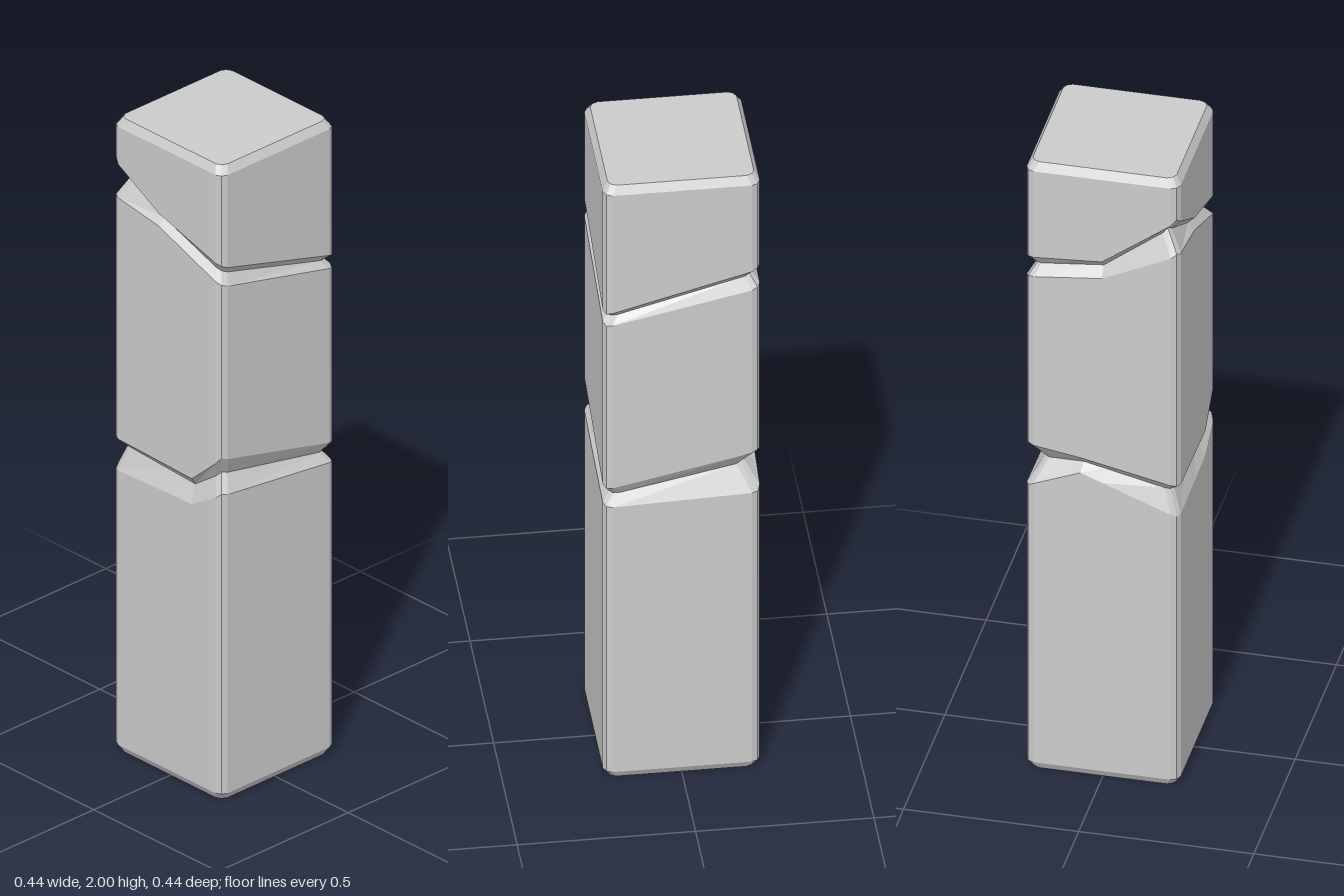
import * as THREE from 'three';

const HALF = 0.22;      // half width of the pillar
const CORNER = 0.212;   // middle point of each softened corner

// Perimeter positions: whole numbers are corners, starting at +x +z and running
// counter-clockwise seen from above; the rest are corner bevels and crack kinks.
const STATIONS = [];
const KINKS = [[], [1.36, 1.5], [2.43, 2.73], []];
for (let side = 0; side < 4; side++) {
  STATIONS.push(side, side + 0.055, ...KINKS[side].map((k) => k), side + 0.945);
}

// Cracks: [perimeter position, lower lip, groove bottom, upper lip, depth]
const LOWER_CRACK = [
  [0, 0.92, 0.95, 0.98, 0.022],
  [1, 0.935, 1.01, 1.075, 0.045],
  [1.36, 1.0, 1.025, 1.05, 0.022],
  [2, 0.89, 0.965, 0.99, 0.025],
  [2.73, 0.9, 0.95, 0.98, 0.025],
  [3, 0.97, 1.02, 1.085, 0.03],
  [4, 0.92, 0.95, 0.98, 0.022],
];
const UPPER_CRACK = [
  [0, 1.53, 1.553, 1.57, 0.02],
  [1, 1.625, 1.66, 1.69, 0.022],
  [1.5, 1.65, 1.68, 1.705, 0.025],
  [2, 1.755, 1.82, 1.87, 0.035],
  [2.43, 1.725, 1.745, 1.765, 0.02],
  [3, 1.63, 1.66, 1.69, 0.022],
  [4, 1.53, 1.553, 1.57, 0.02],
];

// Value of a crack column at perimeter position u
function sample(crack, u, column) {
  const i = crack.findIndex((key, n) => n > 0 && u <= key[0]);
  const a = crack[i - 1], b = crack[i];
  return THREE.MathUtils.lerp(a[column], b[column], (u - a[0]) / (b[0] - a[0]));
}

// Horizontal position on the soft-cornered square, pulled inwards by inset
function outline(u, inset) {
  const side = Math.floor(u), t = u - side;
  const out = t === 0 ? CORNER : HALF;
  const along = t === 0 ? CORNER : HALF * (1 - 2 * t);
  const k = 1 - inset / HALF;
  const p = [[out, along], [along, -out], [-out, -along], [-along, out]][side];
  return [p[0] * k, p[1] * k];
}

const ring = (height, inset) => STATIONS.map((u) => {
  const [x, z] = outline(u, inset(u));
  return [x, height(u), z];
});
const flatRing = (y, inset) => ring(() => y, () => inset);
const lip = (crack, column) => ring((u) => sample(crack, u, column), () => 0);
const groove = (crack) => ring((u) => sample(crack, u, 2), (u) => sample(crack, u, 4));

// Skin a stack of rings, optionally closing the bottom or top
function loft(name, rings, capBottom, capTop) {
  const n = STATIONS.length;
  const positions = rings.flat(2);
  const index = [];
  for (let r = 0; r < rings.length - 1; r++) {
    for (let j = 0; j < n; j++) {
      const a = r * n + j, b = r * n + (j + 1) % n;
      index.push(a, b, b + n, a, b + n, a + n);
    }
  }
  const last = (rings.length - 1) * n;
  for (let j = 1; j < n - 1; j++) {
    if (capBottom) index.push(0, j + 1, j);
    if (capTop) index.push(last, last + j, last + j + 1);
  }
  const indexed = new THREE.BufferGeometry();
  indexed.setAttribute('position', new THREE.Float32BufferAttribute(positions, 3));
  indexed.setIndex(index);
  const geometry = indexed.toNonIndexed();
  geometry.computeVertexNormals();
  const mesh = new THREE.Mesh(
    geometry,
    new THREE.MeshStandardMaterial({ color: 0xcccccc, flatShading: true }),
  );
  mesh.name = name;
  return mesh;
}

export function createModel() {
  const pillar = new THREE.Group();
  pillar.name = 'crackedPillar';
  pillar.add(
    // Base block with bevelled foot
    loft('baseBlock', [
      flatRing(0, 0.015), flatRing(0.025, 0), lip(LOWER_CRACK, 1), groove(LOWER_CRACK),
    ], true, false),
    // Middle block between the two cracks
    loft('middleBlock', [
      groove(LOWER_CRACK), lip(LOWER_CRACK, 3), lip(UPPER_CRACK, 1), groove(UPPER_CRACK),
    ], false, false),
    // Top block with bevelled rim
    loft('topBlock', [
      groove(UPPER_CRACK), lip(UPPER_CRACK, 3), flatRing(1.975, 0), flatRing(2, 0.015),
    ], false, true),
  );
  return pillar;
}
